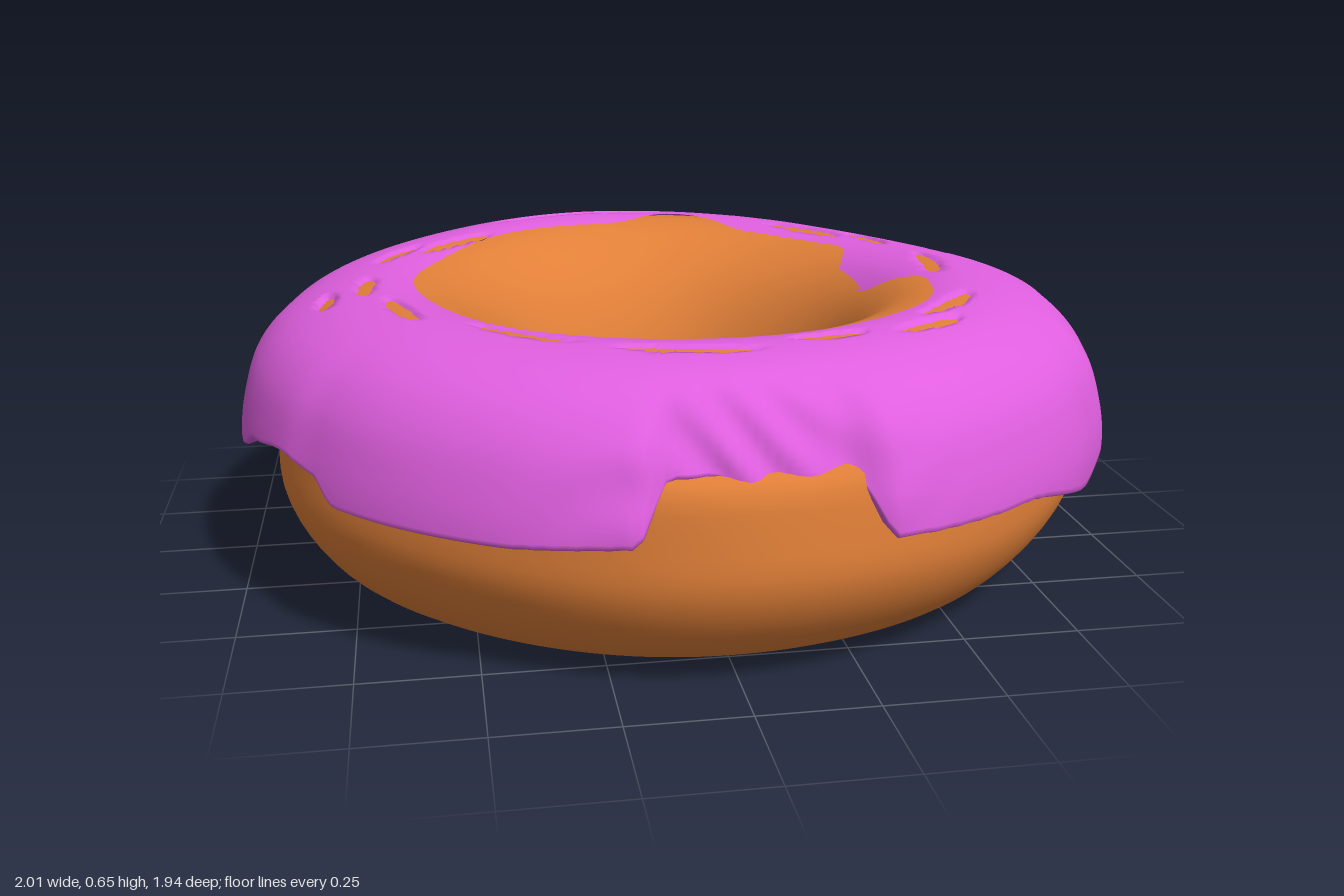
import * as THREE from 'three';

const TAU = Math.PI * 2;
const STEPS = 300;
const { smoothstep } = THREE.MathUtils;

// Icing rim: [degrees from front towards +x, height of lower edge, outer radius]
const RIM = [
  [0, 0.44, 0.95], [8, 0.44, 0.95], [12, 0.46, 0.95], [17, 0.33, 0.99], [37, 0.32, 0.985],
  [57, 0.26, 1.0], [64, 0.3, 1.01], [72, 0.42, 1.0], [85, 0.42, 0.99], [88, 0.34, 1.0],
  [91, 0.34, 1.0], [96, 0.42, 0.985], [117, 0.42, 0.97], [123, 0.34, 0.97], [128, 0.34, 0.98],
  [132, 0.4, 0.97], [152, 0.39, 0.975], [165, 0.35, 0.97], [180, 0.34, 0.975], [215, 0.32, 0.97],
  [235, 0.3, 0.975], [260, 0.31, 0.985], [270, 0.33, 1.0], [280, 0.33, 1.0], [288, 0.38, 1.0],
  [297, 0.4, 1.0], [304, 0.38, 0.99], [309, 0.33, 0.99], [330, 0.33, 0.985], [347, 0.34, 0.98],
  [351, 0.46, 0.95], [355, 0.46, 0.95], [360, 0.44, 0.95],
];

// Inner edge of the icing: [degrees, radius]
const INNER = [[0, 0.61], [45, 0.64], [75, 0.6], [95, 0.48], [108, 0.47], [120, 0.56], [150, 0.58],
  [170, 0.67], [185, 0.6], [215, 0.6], [270, 0.59], [315, 0.61], [360, 0.61]];

// Streaks where dough shows through: [degrees, radius, half length in degrees]
const STREAKS = [
  [197, 0.9, 4], [180, 0.87, 4], [220, 0.89, 3], [192, 0.71, 20], [153, 0.74, 14], [139, 0.9, 5],
  [136, 0.63, 11], [130, 0.78, 9], [123, 0.88, 5], [119, 0.65, 8], [108, 0.75, 7], [90, 0.64, 10],
  [53, 0.69, 11], [39, 0.73, 8], [19, 0.68, 7], [354, 0.7, 12], [324, 0.66, 12], [294, 0.69, 9],
  [274, 0.71, 7], [278, 0.8, 4], [246, 0.7, 9], [231, 0.64, 12],
];

// Smoothly interpolated lookup in an angle table
function lookup(table, deg, column) {
  let i = 0;
  while (i < table.length - 2 && deg > table[i + 1][0]) i++;
  const a = table[i], b = table[i + 1];
  return a[column] + (b[column] - a[column]) * smoothstep(deg, a[0], b[0]);
}

// Signed difference in degrees from a direction, and a bell curve round it
const turn = (a, centre) =>
  THREE.MathUtils.euclideanModulo(THREE.MathUtils.radToDeg(a) - centre + 180, 360) - 180;
const bump = (a, centre, width) => Math.exp(-((turn(a, centre) / width) ** 2));

// How far the icing is worn through at a spot, 0 to 1
const wornAt = (a, r) => Math.max(...STREAKS.map(([deg, radius, half]) => {
  const along = turn(a, deg) / half;
  const across = (r - radius - 0.012 * along) / 0.02;
  return 1 - smoothstep(along * along + across * across, 0.5, 1.2);
}));

// Unevenness of the top shared by dough and icing: a sagging shoulder and a low rise behind
const lift = (a, r, y) => smoothstep(y, 0.38, 0.6)
  * (0.014 * bump(a, 195, 28) * smoothstep(r, 0.45, 0.62)
    - 0.045 * bump(a, 124, 22) * smoothstep(r, 0.62, 0.85));

const spline = (points, closed) =>
  new THREE.CatmullRomCurve3(points.map(([r, y]) => new THREE.Vector3(r, y, 0)), closed);

// Sweeps a cross-section, given per angle as [radius, height] pairs, once round the hole
function ring(name, color, section, closed) {
  const positions = [], index = [];
  let count = 0;
  for (let s = 0; s < STEPS; s++) {
    const a = (s / STEPS) * TAU;
    const profile = section(a);
    count = profile.length;
    for (const [r, y] of profile) positions.push(Math.sin(a) * r, y, Math.cos(a) * r);
  }
  const spans = closed ? count : count - 1;
  for (let s = 0; s < STEPS; s++) {
    for (let j = 0; j < spans; j++) {
      const k = (j + 1) % count, n = (s + 1) % STEPS;
      const p = s * count + j, q = s * count + k, u = n * count + j, v = n * count + k;
      index.push(p, q, u, q, v, u);
    }
  }
  const geometry = new THREE.BufferGeometry();
  geometry.setAttribute('position', new THREE.Float32BufferAttribute(positions, 3));
  geometry.setIndex(index);
  geometry.computeVertexNormals();
  const mesh = new THREE.Mesh(geometry,
    new THREE.MeshStandardMaterial({ color, side: THREE.DoubleSide }));
  mesh.name = name;
  return mesh;
}

export function createModel() {
  const group = new THREE.Group();
  group.name = 'doughnut';

  // Dough: a rounded ring, uneven round the outside and pressed in above the front gap
  const doughPoints = spline([
    [0.342, 0.26], [0.378, 0.41], [0.45, 0.54], [0.54, 0.611], [0.64, 0.637], [0.74, 0.631],
    [0.83, 0.6], [0.89, 0.545], [0.925, 0.45], [0.937, 0.33], [0.935, 0.22], [0.88, 0.11],
    [0.8, 0.035], [0.66, 0.006], [0.54, 0.02], [0.43, 0.08], [0.368, 0.16],
  ], true).getPoints(72).slice(0, -1);
  const doughSection = (a) => doughPoints.map(({ x: r, y }) => {
    const outer = smoothstep(r, 0.75, 0.93);
    const inner = 1 - smoothstep(r, 0.34, 0.55);
    const low = 1 - smoothstep(y, 0.25, 0.45);
    const shift = outer * (0.016 * Math.sin(a) + 0.014 * Math.cos(a)
      + low * (0.01 * Math.sin(5 * a + 1) - 0.015 * bump(a, 180, 40))
      - 0.07 * bump(a, 0, 16) * smoothstep(y, 0.43, 0.5))
      + inner * (0.02 * Math.cos(a) + 0.004 * Math.sin(5 * a));
    return [r + shift, y + lift(a, r, y) + low * outer * 0.005 * (1 + Math.sin(7 * a))];
  });
  group.add(ring('dough', 0xe07f38, doughSection, true));

  // Icing: a thin coat with a dripping lower edge, worn through in streaks on top
  const icingPoints = spline([
    [0.44, 0.535], [0.54, 0.615], [0.64, 0.644], [0.74, 0.641], [0.83, 0.615], [0.9, 0.57],
    [0.95, 0.505], [0.98, 0.42], [0.995, 0.33], [0.99, 0.22],
  ], false).getPoints(400);
  const icingSection = (a) => {
    const deg = THREE.MathUtils.radToDeg(a);
    const edge = lookup(RIM, deg, 1), radius = lookup(RIM, deg, 2);
    const innerEdge = lookup(INNER, deg, 1) + 0.008 * Math.sin(7 * a);
    const first = icingPoints.findIndex((p) => p.x >= innerEdge);
    const last = icingPoints.findIndex((p) => p.x > 0.8 && p.y <= edge);
    const dent = bump(a, 0, 14);
    const profile = [];
    const rows = 64;
    for (let j = 0; j <= rows; j++) {
      const p = icingPoints[Math.round(first + (last - first) * j / rows)];
      const spread = smoothstep(p.x, 0.78, 0.97);
      let r = p.x * (1 + spread * (radius / 0.99 - 1));
      const y = p.y + lift(a, p.x, p.y)
        - wornAt(a, p.x) * (0.018 + 0.02 * smoothstep(p.x, 0.74, 0.88));
      // Crumpled skin over the front dent
      r += dent * spread * (0.008 * Math.sin(45 * y + 9 * Math.sin(6 * a)) - 0.012);
      profile.push([r, y]);
    }
    // Lip curling back under to meet the dough
    const [r, y] = profile[rows];
    profile.push([r - 0.008, y - 0.005], [r - 0.025, y - 0.001], [r - 0.06, y + 0.02]);
    return profile;
  };
  group.add(ring('icing', 0xe05fe0, icingSection, false));

  return group;
}
